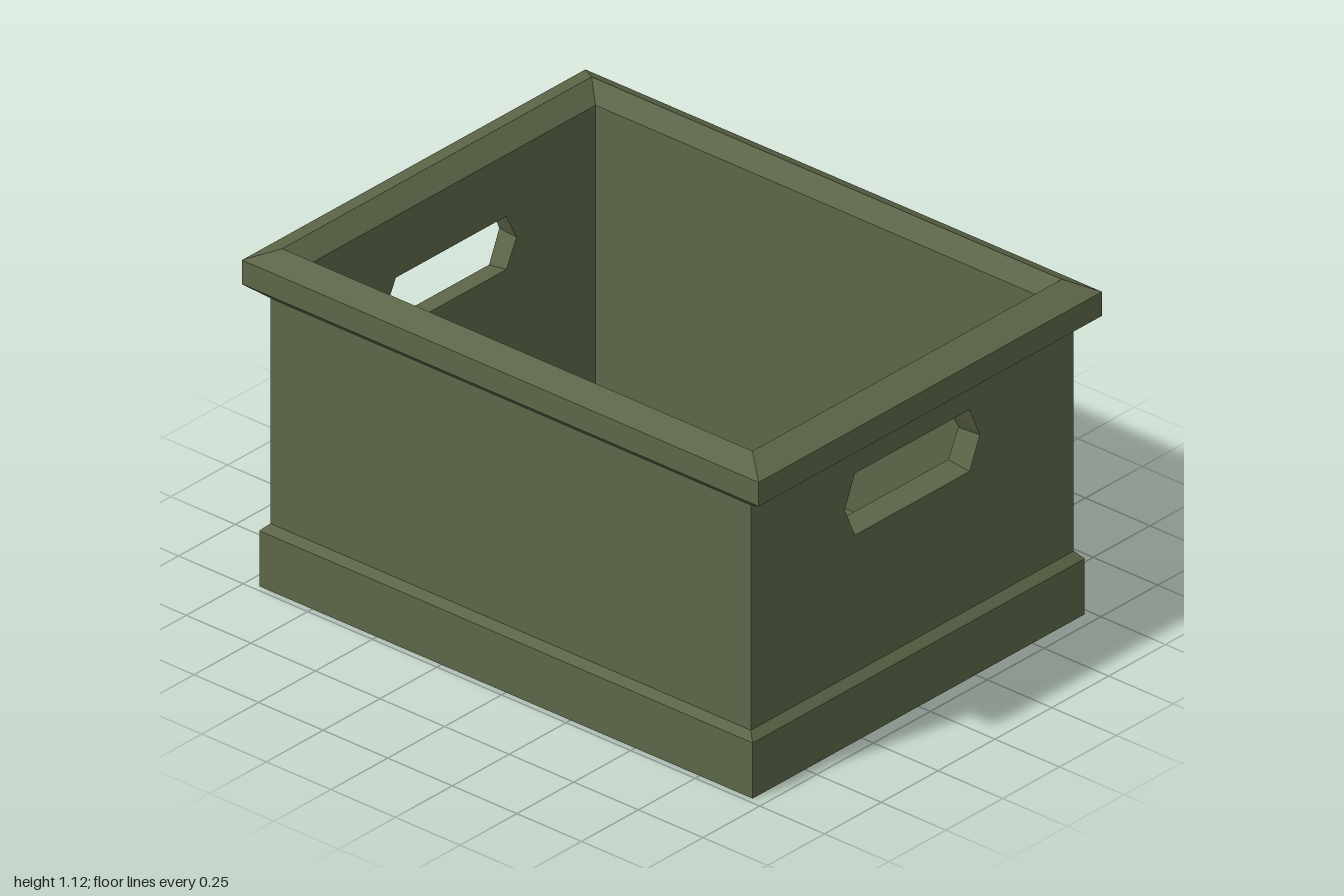
import * as THREE from 'three';

const olive = new THREE.MeshStandardMaterial({ color: 0x5c6548 });
olive.name = 'olive';

// Flat-shaded geometry from a list of four-corner faces
function quads(faces) {
  const pos = faces.flatMap(([a, b, c, d]) => [a, b, c, a, c, d].flat());
  const geo = new THREE.BufferGeometry();
  geo.setAttribute('position', new THREE.Float32BufferAttribute(pos, 3));
  geo.computeVertexNormals();
  return geo;
}

// Rectangular rings [half x, y, half z] joined on the chosen sides (0 front, 1 left, 2 back, 3 right)
function rings(profile, sides = [0, 1, 2, 3]) {
  const corner = ([x, y, z], i) => [[-x, y, z], [x, y, z], [x, y, -z], [-x, y, -z]][i % 4];
  const faces = [];
  for (let r = 0; r + 1 < profile.length; r++) {
    for (const s of sides) {
      const lo = profile[r], hi = profile[r + 1];
      faces.push([corner(lo, s), corner(lo, s + 1), corner(hi, s + 1), corner(hi, s)]);
    }
  }
  return quads(faces);
}

// Elongated hexagon of the handle opening, counter-clockwise
function hexagon(end, flat, low, high) {
  const mid = (low + high) / 2;
  return [[-flat, low], [flat, low], [end, mid], [flat, high], [-flat, high], [-end, mid]];
}

// Upright panel with a handle opening, facing outward (dir 1) or inward (dir -1)
function piercedPanel(x, halfZ, y0, y1, hole, dir) {
  const v = (p) => new THREE.Vector2(...p);
  const shape = new THREE.Shape([[-halfZ, y0], [halfZ, y0], [halfZ, y1], [-halfZ, y1]].map(v));
  shape.holes.push(new THREE.Path(hole.map(v)));
  return new THREE.ShapeGeometry(shape).rotateY(dir * Math.PI / 2).translate(x, 0, 0);
}

export function createModel() {
  const model = new THREE.Group();
  model.name = 'crate';
  const add = (name, geo, parent = model) => {
    const mesh = new THREE.Mesh(geo, olive);
    mesh.name = name;
    parent.add(mesh);
  };

  const floorY = 0.08;
  const wall = { x: 0.93, z: 0.71, y0: 0.21, y1: 0.96 };
  const inner = { x: 0.855, z: 0.635, y1: 1.065 };

  // Plinth with a chamfered top edge
  add('plinth', rings([[0.955, 0, 0.73], [0.955, 0.185, 0.73], [wall.x, wall.y0, wall.z]]));
  add('underside', new THREE.PlaneGeometry(1.91, 1.46).rotateX(Math.PI / 2));
  add('floor', new THREE.PlaneGeometry(inner.x * 2, inner.z * 2).rotateX(-Math.PI / 2).translate(0, floorY, 0));

  // Front and back walls, outside and inside
  add('longWallsOutside', rings([[wall.x, wall.y0, wall.z], [wall.x, wall.y1, wall.z]], [0, 2]));
  add('longWallsInside', rings([[inner.x, inner.y1, inner.z], [inner.x, floorY, inner.z]], [0, 2]));

  // Flared rim, sloping down to both sides of its ridge
  add('rim', rings([
    [wall.x, wall.y1, wall.z], [1, 1, 0.755], [1, 1.08, 0.755],
    [0.91, 1.12, 0.68], [inner.x, inner.y1, inner.z],
  ]));

  // End walls, each with a tapered handle opening
  const outerHole = hexagon(0.297, 0.252, 0.667, 0.873);
  const innerHole = hexagon(0.288, 0.243, 0.683, 0.86);
  const reveal = outerHole.map((p, i) => {
    const j = (i + 1) % 6;
    const out = (k) => [wall.x, outerHole[k][1], -outerHole[k][0]];
    const inn = (k) => [inner.x, innerHole[k][1], -innerHole[k][0]];
    return [out(i), out(j), inn(j), inn(i)];
  });
  for (const [name, turn] of [['leftEnd', 0], ['rightEnd', Math.PI]]) {
    const end = new THREE.Group();
    end.name = name;
    end.rotation.y = turn;
    add('endWallOutside', piercedPanel(wall.x, wall.z, wall.y0, wall.y1, outerHole, 1), end);
    add('endWallInside', piercedPanel(inner.x, inner.z, floorY, inner.y1, innerHole, -1), end);
    add('handleOpening', quads(reveal), end);
    model.add(end);
  }
  return model;
}
